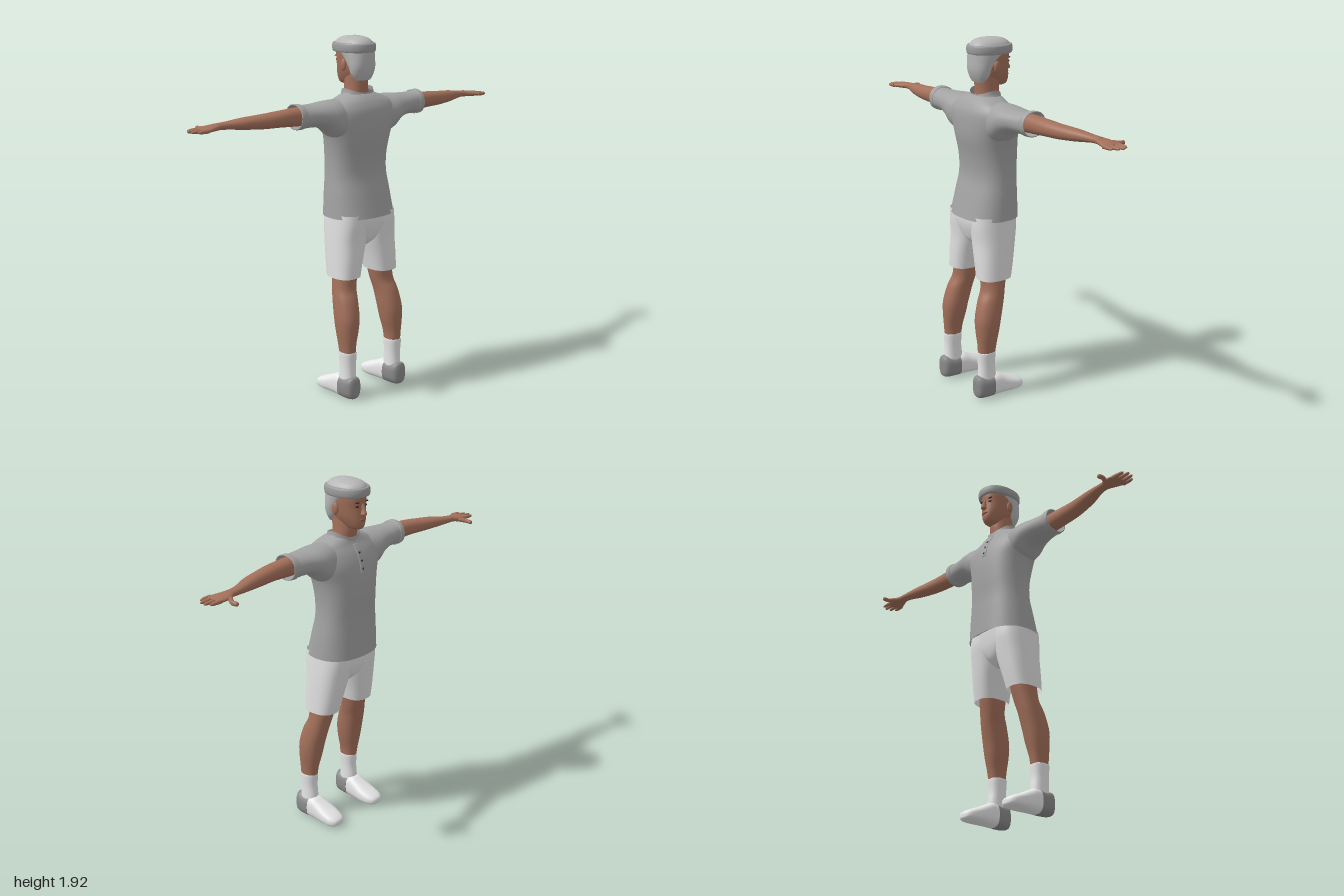
import * as THREE from 'three';

const mat = (name, color, double) => {
  const m = new THREE.MeshStandardMaterial({ color });
  m.name = name;
  if (double) m.side = THREE.DoubleSide;
  return m;
};

// Skin a stack of rounded sections along an axis.
// Row: [position, low1, high1, low2, high2]; the bounds are x,z / y,z / x,y for axis y / x / z.
function loft(axis, rows, { n = 2.2, seg = 32, sub = 4, caps = true } = {}) {
  const at = (r, t) => {
    const p = k => rows[Math.min(Math.max(k, 0), rows.length - 1)];
    return rows[0].map((_, c) => {
      const [a, b, d, e] = [p(r - 1)[c], p(r)[c], p(r + 1)[c], p(r + 2)[c]];
      return b + 0.5 * t * (d - a + t * (2 * a - 5 * b + 4 * d - e + t * (3 * (b - d) + e - a)));
    });
  };
  const rings = [];
  for (let r = 0; r < rows.length - 1; r++) for (let i = 0; i < sub; i++) rings.push(at(r, i / sub));
  rings.push(rows[rows.length - 1]);
  const pos = [], idx = [];
  const put = (t, u, v) => pos.push(...(axis === 'y' ? [u, t, v] : axis === 'x' ? [t, u, v] : [u, v, t]));
  const sgn = axis === 'y' ? 1 : -1;
  const pw = v => Math.sign(v) * Math.abs(v) ** (2 / n);
  const ring = ([t, a, b, c, d]) => {
    for (let j = 0; j < seg; j++) {
      const q = j / seg * Math.PI * 2;
      put(t, (a + b) / 2 + (b - a) / 2 * pw(Math.cos(q)), (c + d) / 2 + sgn * (d - c) / 2 * pw(Math.sin(q)));
    }
  };
  rings.forEach(ring);
  for (let i = 0; i < rings.length - 1; i++) for (let j = 0; j < seg; j++) {
    const k = (j + 1) % seg, a = i * seg + j, b = i * seg + k;
    idx.push(a, a + seg, b, b, a + seg, b + seg);
  }
  if (caps) [rings[0], rings[rings.length - 1]].forEach((r, end) => {
    const base = pos.length / 3;
    ring(r);
    put(r[0], (r[1] + r[2]) / 2, (r[3] + r[4]) / 2);
    for (let j = 0; j < seg; j++) {
      const k = base + (j + 1) % seg;
      if (end) idx.push(base + seg, k, base + j); else idx.push(base + seg, base + j, k);
    }
  });
  const g = new THREE.BufferGeometry();
  g.setAttribute('position', new THREE.Float32BufferAttribute(pos, 3));
  g.setIndex(idx);
  g.computeVertexNormals();
  return g;
}

function mirrored(geo) {
  const g = geo.clone().scale(-1, 1, 1), i = g.index.array;
  for (let k = 0; k < i.length; k += 3) [i[k], i[k + 1]] = [i[k + 1], i[k]];
  g.computeVertexNormals();
  return g;
}

const blob = (x, y, z, rx, ry, rz) => new THREE.SphereGeometry(1, 16, 12).scale(rx, ry, rz).translate(x, y, z);

export function createModel() {
  const root = new THREE.Group();
  root.name = 'standingMan';
  const skin = mat('skin', 0xa3705a), shirt = mat('shirtGrey', 0xa2a2a2, true), white = mat('shortsWhite', 0xe0e0e0, true);
  const shoeWhite = mat('shoeWhite', 0xeeeeee), heelGrey = mat('heelGrey', 0x8a8a8a), hairGrey = mat('hairGrey', 0xb6b6b6);
  const bandGrey = mat('headbandGrey', 0x9c9c9c), dark = mat('dark', 0x3a2a24), lip = mat('lips', 0x8a5548);
  const add = (name, geo, m) => {
    const mesh = new THREE.Mesh(geo, m);
    mesh.name = name;
    root.add(mesh);
  };
  const pair = (name, geo, m) => {
    add(name + 'Left', geo, m);
    add(name + 'Right', mirrored(geo), m);
  };
  // Rows symmetric about x = 0: [y, half width, z front, z back]
  const body = (rows, opt) => loft('y', rows.map(([y, w, f, b]) => [y, -w, w, f, b]), opt);

  // Head and neck; the face looks toward -z
  add('neck', body([[1.55, .075, -.08, .055], [1.61, .063, -.08, .045], [1.66, .057, -.085, .045], [1.73, .055, -.08, .05]]), skin);
  add('head', body([[1.663, .02, -.125, -.06], [1.672, .036, -.138, -.025], [1.695, .05, -.146, .02], [1.73, .064, -.145, .05],
    [1.78, .073, -.141, .065], [1.83, .076, -.145, .072], [1.875, .07, -.135, .068], [1.895, .05, -.1, .04]]), skin);
  add('nose', loft('y', [[1.737, -.006, .006, -.15, -.13], [1.745, -.016, .016, -.167, -.12], [1.765, -.01, .01, -.161, -.12],
    [1.8, -.007, .007, -.146, -.12]], { seg: 16 }), skin);
  add('lips', blob(0, 1.716, -.143, .022, .008, .008), lip);
  pair('ear', blob(.08, 1.768, -.028, .011, .032, .02).rotateY(0), skin);
  pair('eye', blob(.03, 1.786, -.132, .012, .006, .006), dark);
  pair('eyebrow', blob(.031, 1.806, -.134, .018, .004, .006), dark);

  // Hair with a headband around it
  add('hair', body([[1.69, .045, .02, .055], [1.72, .066, -.012, .07], [1.76, .076, -.03, .08], [1.81, .081, -.08, .082],
    [1.84, .084, -.125, .082], [1.87, .084, -.148, .08], [1.893, .07, -.135, .065], [1.908, .045, -.1, .035], [1.915, .01, -.04, -.02]]), hairGrey);
  add('headband', body([[1.832, .088, -.15, .076], [1.835, .096, -.157, .084], [1.855, .099, -.161, .087],
    [1.876, .096, -.157, .084], [1.879, .086, -.148, .074]], { sub: 3 }), bandGrey);

  // Shirt body
  add('shirtBody', body([[.98, .195, -.155, .15], [1.1, .185, -.151, .12], [1.2, .175, -.148, .097], [1.3, .174, -.152, .102],
    [1.4, .187, -.151, .12], [1.48, .215, -.14, .123], [1.54, .215, -.117, .118], [1.58, .185, -.092, .1],
    [1.605, .13, -.08, .08], [1.622, .085, -.072, .06]], { n: 2.4, seg: 48, caps: false }), shirt);

  // Short sleeves with a turned hem
  pair('sleeve', loft('x', [[.1, 1.37, 1.602, -.1, .09], [.19, 1.41, 1.6, -.108, .1], [.24, 1.452, 1.597, -.1, .092],
    [.3, 1.474, 1.592, -.086, .08], [.37, 1.475, 1.592, -.077, .068], [.415, 1.475, 1.597, -.073, .061]], { caps: false }), shirt);
  pair('sleeveHem', loft('x', [[.385, 1.474, 1.594, -.076, .065], [.388, 1.47, 1.599, -.08, .068],
    [.416, 1.471, 1.601, -.077, .065], [.418, 1.476, 1.596, -.072, .06]], { caps: false, sub: 2 }), shirt);

  // Collar: a band that rises at the sides and dips at the front and back
  const collar = body([[1.598, .11, -.092, .085], [1.625, .09, -.086, .068], [1.65, .086, -.082, .06]], { caps: false, seg: 48 });
  const p = collar.attributes.position;
  for (let i = 0; i < p.count; i++) {
    const z = p.getZ(i) + .01;
    p.setY(i, p.getY(i) - (z < 0 ? 6.5 : 4.5) * z * z);
  }
  collar.computeVertexNormals();
  add('collar', collar, shirt);

  // Button placket down the chest
  add('placket', loft('y', [[1.44, -.016, .016, -.151, -.13], [1.48, -.016, .016, -.144, -.12], [1.54, -.016, .016, -.121, -.1],
    [1.58, -.016, .016, -.096, -.08]], { n: 6, seg: 24 }), shirt);
  [[1.46, -.148], [1.5, -.138], [1.54, -.121]].forEach(([y, z], i) => add('button' + (i + 1), blob(0, y, z, .006, .006, .004), dark));

  // Arms and hands
  pair('arm', loft('x', [[.33, 1.487, 1.585, -.045, .045], [.42, 1.49, 1.583, -.051, .04], [.52, 1.495, 1.577, -.054, .036],
    [.6, 1.496, 1.57, -.062, .024], [.7, 1.502, 1.562, -.077, 0], [.79, 1.51, 1.549, -.088, -.034], [.85, 1.512, 1.545, -.092, -.038]], { seg: 24 }), skin);
  pair('palm', loft('x', [[.83, 1.512, 1.545, -.09, -.04], [.87, 1.51, 1.541, -.108, -.025], [.92, 1.51, 1.535, -.107, -.009],
    [.94, 1.514, 1.53, -.1, -.014]], { seg: 24 }), skin);
  [[-.097, .985], [-.071, 1], [-.043, .996], [-.018, .975]].forEach(([z, tip], i) =>
    pair('finger' + (i + 1), loft('x', [[.915, 1.512, 1.533, z - .011, z + .011], [.95, 1.512, 1.531, z - .01, z + .01],
      [tip - .01, 1.514, 1.528, z - .008, z + .008], [tip, 1.518, 1.524, z - .003, z + .003]], { seg: 12, sub: 3 }), skin));
  const thumb = new THREE.TubeGeometry(new THREE.CatmullRomCurve3([[.845, 1.525, -.075], [.875, 1.52, -.115], [.888, 1.516, -.14],
    [.886, 1.515, -.165]].map(a => new THREE.Vector3(...a))), 12, .0115, 10);
  pair('thumb', thumb, skin);
  pair('thumbTip', blob(.886, 1.515, -.164, .0115, .0115, .01), skin);

  // Shorts
  add('shortsSeat', body([[.815, .02, -.05, .06], [.85, .07, -.09, .1], [.9, .15, -.11, .122], [.95, .185, -.118, .135], [1.0, .187, -.122, .138]],
    { n: 2.5 }), white);
  pair('shortsLeg', loft('y', [[.66, .052, .203, -.067, .12], [.75, .032, .2, -.086, .122], [.85, .006, .196, -.104, .122],
    [.94, .0, .19, -.118, .13], [1.0, .0, .185, -.118, .13]], { n: 2.5, caps: false }), white);

  // Legs and socks
  pair('leg', loft('y', [[.23, .122, .198, .05, .143], [.3, .118, .203, .04, .147], [.38, .1, .212, .022, .153], [.45, .09, .214, .008, .152],
    [.54, .082, .205, -.014, .128], [.6, .07, .195, -.027, .1], [.68, .058, .185, -.045, .098], [.76, .055, .185, -.055, .098]]), skin);
  pair('sock', loft('y', [[.06, .12, .203, .04, .15], [.13, .122, .2, .043, .146], [.19, .121, .2, .049, .145], [.255, .117, .204, .046, .149],
    [.26, .121, .2, .05, .145]]), shoeWhite);

  // Shoes: white front, grey heel
  pair('shoeFront', loft('z', [[-.132, .145, .175, .018, .035], [-.125, .125, .195, .009, .047], [-.1, .108, .212, .002, .062],
    [-.05, .1, .217, 0, .083], [0, .104, .214, 0, .106], [.04, .108, .213, 0, .124], [.075, .11, .213, 0, .122]], { n: 2.7 }), shoeWhite);
  pair('shoeHeel', loft('z', [[.07, .109, .214, 0, .123], [.11, .112, .214, 0, .121], [.145, .117, .209, .002, .126],
    [.163, .128, .199, .008, .122], [.171, .145, .182, .025, .1]], { n: 2.7 }), heelGrey);

  return root;
}
